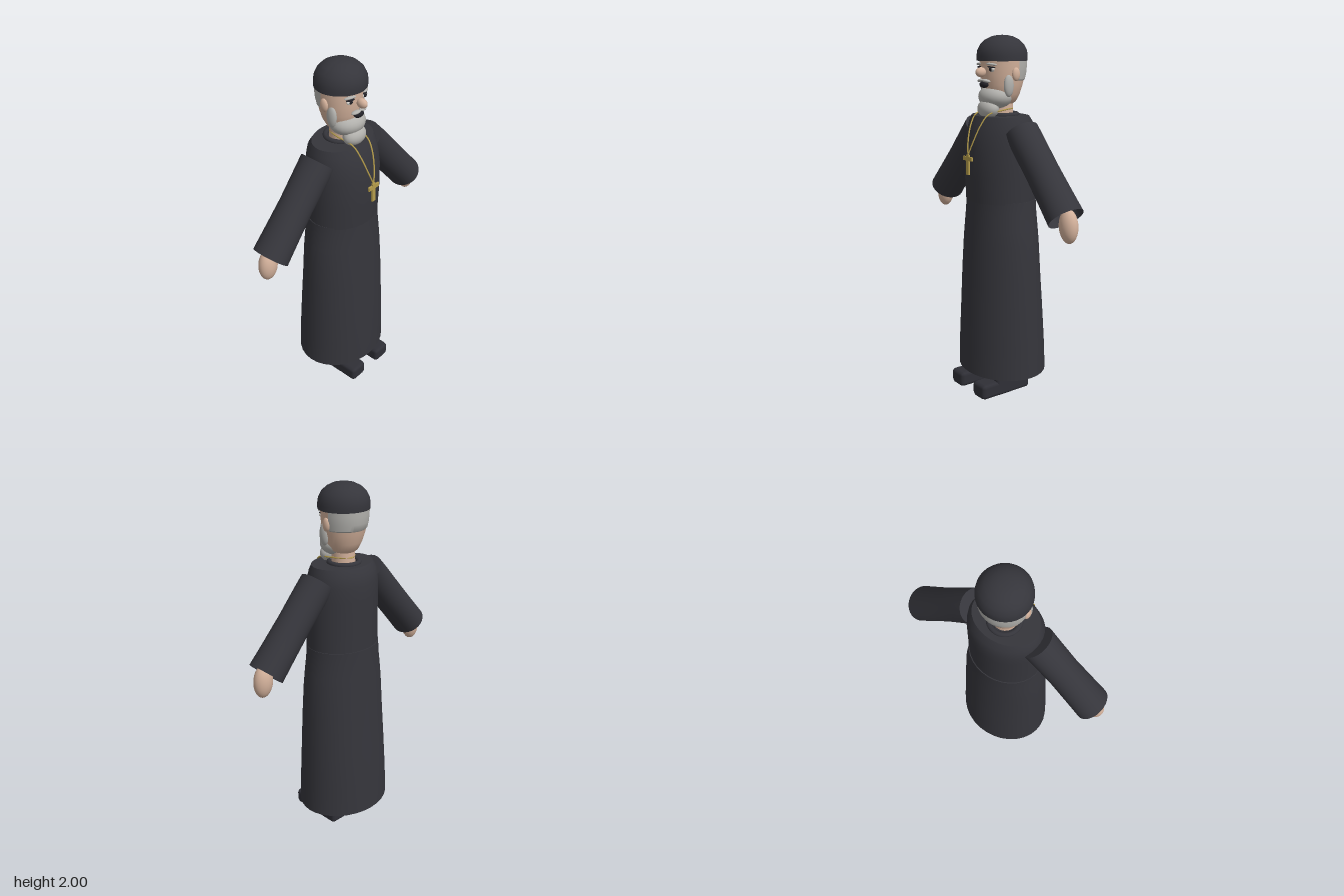
import * as THREE from 'three';
import { toCreasedNormals } from 'three/addons/utils/BufferGeometryUtils.js';
import { RoundedBoxGeometry } from 'three/addons/geometries/RoundedBoxGeometry.js';

const paint = (name, color, side = THREE.FrontSide) => {
  const m = new THREE.MeshStandardMaterial({ color, side });
  m.name = name;
  return m;
};

// Elliptical cross-sections [y, radiusX, radiusZ, centreZ], listed bottom to top
function loft(rings, { seg = 32, open = false, start = 0, sweep = Math.PI * 2, crease = 0.6 } = {}) {
  const n = rings.length - 1;
  const g = new THREE.CylinderGeometry(1, 1, 1, seg, n, open, start, sweep);
  const p = g.attributes.position;
  for (let i = 0; i < p.count; i++) {
    const [y, rx, rz, cz = 0] = rings[Math.round((p.getY(i) + 0.5) * n)];
    p.setXYZ(i, p.getX(i) * rx, y, p.getZ(i) * rz + cz);
  }
  return toCreasedNormals(g, crease);
}

export function createModel() {
  const model = new THREE.Group();
  model.name = 'robedMan';

  const robe = paint('robe black', 0x35353b, THREE.DoubleSide);
  const shoe = paint('shoe black', 0x2f2f36);
  const skin = paint('skin', 0xd3b19b);
  const hair = paint('grey hair', 0xb2b1ad, THREE.DoubleSide);
  const gold = paint('gold', 0xb59d4c);
  const dark = paint('dark features', 0x232228);
  const white = paint('eye white', 0xd8d6d0);

  const add = (name, geometry, material, x = 0, y = 0, z = 0) => {
    const mesh = new THREE.Mesh(geometry, material);
    mesh.name = name;
    mesh.position.set(x, y, z);
    model.add(mesh);
    return mesh;
  };
  const ball = (name, material, [x, y, z], [sx, sy, sz]) => {
    const mesh = add(name, new THREE.SphereGeometry(1, 24, 16), material, x, y, z);
    mesh.scale.set(sx, sy, sz);
    return mesh;
  };

  // Robe
  add('skirt', loft([
    [0.12, 0.278, 0.234, -0.007], [0.3, 0.272, 0.228, -0.005], [0.5, 0.263, 0.216, -0.003],
    [0.7, 0.253, 0.204], [0.88, 0.243, 0.193], [0.97, 0.233, 0.187], [1.05, 0.221, 0.183],
    [1.12, 0.215, 0.181],
  ]), robe);
  add('torso', loft([
    [1.11, 0.212, 0.18, 0.004], [1.25, 0.214, 0.183, 0.008], [1.4, 0.212, 0.183, 0.008],
    [1.48, 0.21, 0.175, 0.002], [1.54, 0.2, 0.16, 0], [1.575, 0.184, 0.14, 0.004],
  ]), robe);
  const collar = add('collar', new THREE.TorusGeometry(0.08, 0.014, 10, 32), robe, 0, 1.578, -0.01);
  collar.rotation.x = Math.PI / 2;

  for (const side of [1, -1]) {
    // Sleeve, open at the cuff and closed at the shoulder
    const sleeve = add('sleeve', loft([
      [-0.545, 0.092, 0.102], [-0.4, 0.09, 0.096], [-0.25, 0.09, 0.09],
      [-0.1, 0.09, 0.093], [0, 0.086, 0.097], [0.001, 0.001, 0.001],
    ], { open: true }), robe, side * 0.185, 1.5, 0);
    sleeve.rotation.z = side * 0.733;

    const hand = ball('hand', skin, [side * 0.57, 1.06, 0], [0.054, 0.09, 0.046]);
    hand.rotation.z = side * 0.1;

    // Shoe with a lower toe block
    add('shoe', new RoundedBoxGeometry(0.112, 0.118, 0.23, 1, 0.018), shoe, side * 0.107, 0.062, 0.028);
    add('shoeToe', new RoundedBoxGeometry(0.112, 0.088, 0.14, 1, 0.022), shoe, side * 0.107, 0.047, 0.172);

    // Side features of the head
    ball('ear', skin, [side * 0.124, 1.797, -0.008], [0.015, 0.036, 0.024]);
    ball('sideburn', hair, [side * 0.107, 1.738, 0.027], [0.019, 0.06, 0.03]);

    // Eyes and brows
    ball('eye', white, [side * 0.053, 1.823, 0.099], [0.022, 0.014, 0.01]);
    ball('pupil', dark, [side * 0.053, 1.823, 0.105], [0.012, 0.011, 0.008]);
    const lid = ball('eyelid', dark, [side * 0.054, 1.834, 0.103], [0.024, 0.004, 0.01]);
    const brow = ball('eyebrow', hair, [side * 0.058, 1.849, 0.104], [0.032, 0.007, 0.011]);
    lid.rotation.set(0, side * 0.45, side * -0.1);
    brow.rotation.set(0, side * 0.45, side * -0.1);

    // Moustache half
    const moustache = ball('moustache', hair, [side * 0.025, 1.762, 0.116], [0.028, 0.009, 0.015]);
    moustache.rotation.set(0, side * 0.25, side * -0.15);

    // Chain half, from the nape down to the cross
    const path = new THREE.CatmullRomCurve3([
      [0, 1.61, -0.072], [0.05, 1.612, -0.04], [0.066, 1.608, 0.02], [0.056, 1.585, 0.125],
      [0.045, 1.53, 0.168], [0.02, 1.43, 0.206], [0, 1.372, 0.219],
    ].map(([x, y, z]) => new THREE.Vector3(side * x, y, z)));
    add('chain', new THREE.TubeGeometry(path, 40, 0.004, 6), gold);
  }

  // Cross pendant
  add('crossUpright', new THREE.BoxGeometry(0.024, 0.11, 0.01), gold, 0, 1.32, 0.22);
  add('crossBar', new THREE.BoxGeometry(0.08, 0.022, 0.01), gold, 0, 1.353, 0.22);

  // Head and neck
  add('neck', new THREE.CylinderGeometry(0.062, 0.064, 0.12, 24), skin, 0, 1.61, -0.005);
  add('head', loft([
    [1.628, 0.045, 0.045, -0.01], [1.65, 0.078, 0.075, -0.008], [1.69, 0.1, 0.097, -0.006],
    [1.74, 0.113, 0.112, -0.008], [1.79, 0.121, 0.121, -0.011], [1.84, 0.125, 0.125, -0.013],
    [1.88, 0.126, 0.125, -0.013],
  ]), skin);
  ball('nose', skin, [0, 1.807, 0.132], [0.021, 0.026, 0.032]);

  // Hair around the back of the head
  add('backHair', loft([
    [1.758, 0.112, 0.112, -0.009], [1.768, 0.122, 0.121, -0.011], [1.8, 0.127, 0.127, -0.013],
    [1.84, 0.13, 0.13, -0.014], [1.88, 0.13, 0.13, -0.014],
  ], { open: true, start: Math.PI * 0.53, sweep: Math.PI * 0.94 }), hair);

  // Beard and mouth
  ball('beard', hair, [0, 1.675, 0.037], [0.102, 0.066, 0.088]);
  ball('beardTip', hair, [0, 1.612, 0.085], [0.072, 0.052, 0.05]);
  ball('mouth', dark, [0, 1.742, 0.112], [0.032, 0.018, 0.02]);

  // Cap
  add('cap', loft([
    [1.865, 0.139, 0.136, -0.009], [1.89, 0.138, 0.138, -0.009], [1.92, 0.133, 0.134, -0.009],
    [1.95, 0.118, 0.119, -0.009], [1.975, 0.092, 0.093, -0.009], [1.992, 0.058, 0.058, -0.009],
    [1.998, 0.03, 0.03, -0.009], [2, 0.001, 0.001, -0.009],
  ]), robe);

  return model;
}
